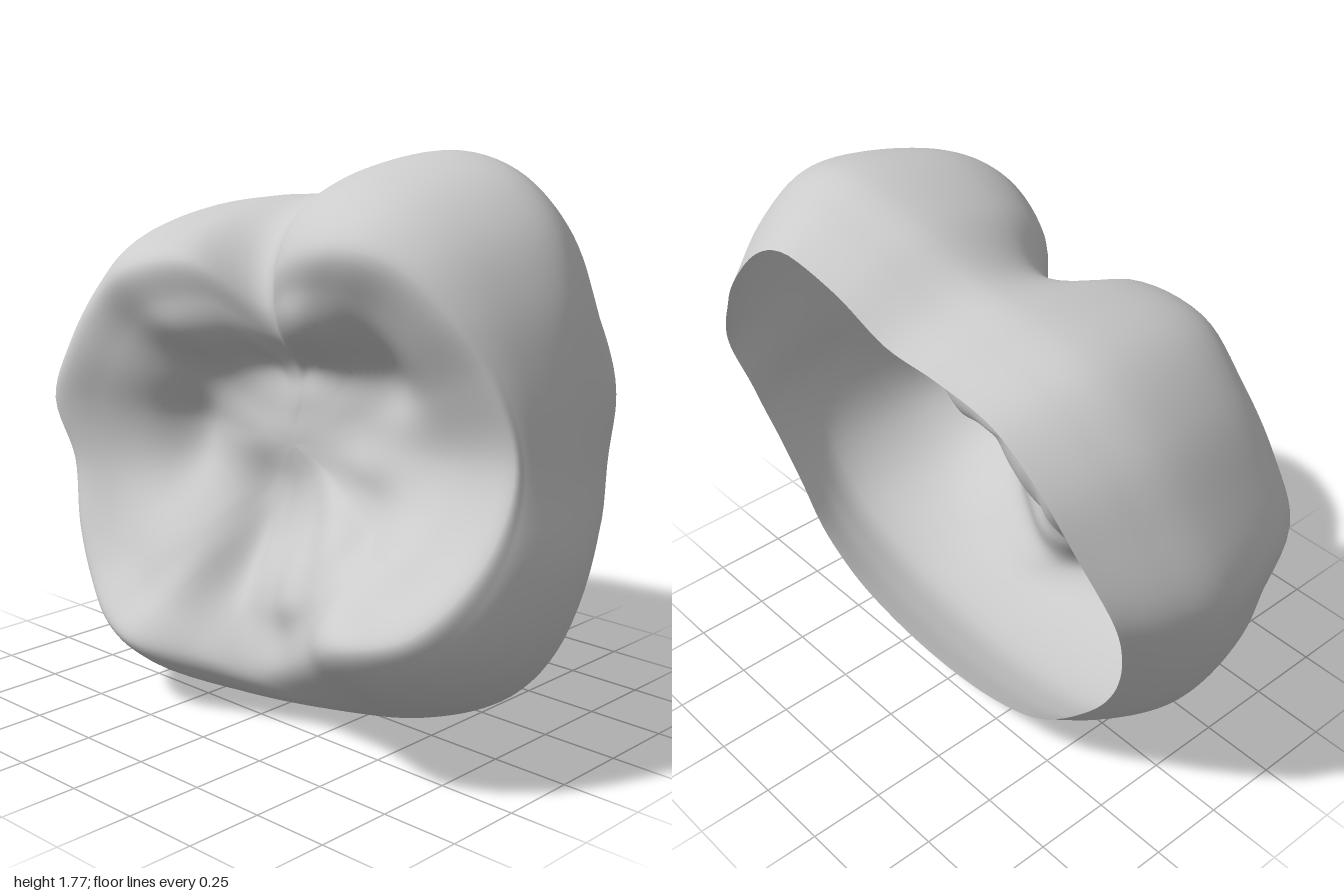
import * as THREE from 'three';
import { mergeVertices } from 'three/addons/utils/BufferGeometryUtils.js';

const { lerp, smoothstep } = THREE.MathUtils;
const COLS = 144, ROWS = 80;
const CENTRE = new THREE.Vector3(0, 0.87, 0.08);

// Stations around the crown, counterclockwise: outer belly x, y, then cusp ridge x, y, z
const STATIONS = [
  [0.955, 0.9, 0.91, 0.96, 0.16], [0.92, 1.18, 0.85, 1.19, 0.2], [0.86, 1.41, 0.75, 1.36, 0.27],
  [0.75, 1.6, 0.63, 1.48, 0.32], [0.58, 1.73, 0.48, 1.53, 0.36], [0.36, 1.78, 0.32, 1.52, 0.36],
  [0.1, 1.73, 0.13, 1.45, 0.3], [-0.13, 1.63, -0.01, 1.31, 0.2], [-0.35, 1.605, -0.2, 1.44, 0.33],
  [-0.6, 1.55, -0.43, 1.4, 0.4], [-0.78, 1.4, -0.63, 1.28, 0.37], [-0.9, 1.2, -0.77, 1.11, 0.37],
  [-1, 0.95, -0.87, 0.92, 0.36], [-0.985, 0.75, -0.8, 0.71, 0.33], [-0.9, 0.5, -0.74, 0.52, 0.37],
  [-0.77, 0.3, -0.63, 0.37, 0.42], [-0.55, 0.11, -0.48, 0.27, 0.48], [-0.3, 0.03, -0.32, 0.23, 0.5],
  [0, 0.005, -0.1, 0.21, 0.4], [0.3, 0.03, 0.09, 0.2, 0.31], [0.55, 0.09, 0.32, 0.3, 0.38],
  [0.8, 0.22, 0.6, 0.46, 0.56], [0.94, 0.4, 0.81, 0.53, 0.47], [0.995, 0.65, 0.91, 0.72, 0.28],
];

// Slope from ridge to fossa: distance from centre, rise on the low cusps, rise on the high cusps
const SLOPE = [[0.8, 0.76, 0.86], [0.6, 0.48, 0.6], [0.4, 0.2, 0.2], [0.2, 0.03, 0.02]];

// Small bumps and fissures of the chewing surface: x, y, width, height, amount
const RELIEF = [
  [-0.12, 0.5, 0.08, 0.2, -0.09], [-0.05, 0.27, 0.07, 0.1, -0.04], [-0.4, 0.85, 0.09, 0.18, -0.05],
  [0.42, 1.14, 0.13, 0.12, -0.08], [0, 1.12, 0.2, 0.08, -0.05], [0.15, 0.46, 0.14, 0.15, 0.07],
  [-0.36, 0.55, 0.17, 0.14, 0.05], [-0.12, 0.88, 0.16, 0.13, 0.04], [0.32, 0.86, 0.14, 0.08, 0.03],
  [0.42, 0.6, 0.08, 0.15, -0.05], [0.65, 0.66, 0.12, 0.12, 0.03], [-0.25, 1.22, 0.14, 0.1, 0.03],
  [0.22, 1.28, 0.12, 0.1, 0.03],
];

function relief(x, y) {
  let sum = 0;
  for (const [cx, cy, w, h, a] of RELIEF) {
    sum += a * Math.exp(-(((x - cx) / w) ** 2) - ((y - cy) / h) ** 2);
  }
  return sum;
}

const ring = (points) => new THREE.CatmullRomCurve3(points, true);

// Open back edge, deeper towards the top and drawn in at the upper left corner
function rimPoint(belly) {
  const corner = smoothstep(belly.x, 0.3, 0.8) * smoothstep(belly.y, 1, 1.5);
  const rim = belly.clone().sub(CENTRE).multiplyScalar(0.88 - 0.1 * corner).add(CENTRE);
  const high = smoothstep(rim.y, 0.35, 1.5);
  rim.z = -0.25 - 0.32 * high
    + 0.08 * high * smoothstep(-rim.x, -0.6, 0.8)
    - 0.03 * smoothstep(-rim.y, -0.4, -0.1);
  return rim;
}

// Cross-section from the open back rim over the cusp ridge to the central fossa
function section(belly, ridge) {
  const blend = (xy, z) => new THREE.Vector3(
    lerp(belly.x, ridge.x, xy), lerp(belly.y, ridge.y, xy), lerp(belly.z, ridge.z, z));
  const high = smoothstep(ridge.y, 0.6, 1.2);
  const slope = SLOPE.map(([scale, low, tall]) => new THREE.Vector3(
    lerp(CENTRE.x, ridge.x, scale),
    lerp(CENTRE.y, ridge.y, scale),
    lerp(CENTRE.z, ridge.z, lerp(low, tall, high))));
  const rim = rimPoint(belly);
  const waist = rim.clone().lerp(belly, 0.5);
  waist.x += (belly.x - rim.x) * 0.15;
  waist.y += (belly.y - rim.y) * 0.15;
  return new THREE.CatmullRomCurve3([
    rim, waist, belly, blend(0.25, 0.58), blend(0.62, 0.88), ridge, ...slope, CENTRE.clone(),
  ]);
}

function crownGeometry() {
  const bellyRing = ring(STATIONS.map(([x, y]) => new THREE.Vector3(x, y, -0.073 * y * y)));
  const ridgeRing = ring(STATIONS.map(([, , x, y, z]) => new THREE.Vector3(x, y, z)));
  const positions = [], indices = [];
  for (let j = 0; j < COLS; j++) {
    const curve = section(bellyRing.getPoint(j / COLS), ridgeRing.getPoint(j / COLS));
    for (let i = 0; i <= ROWS; i++) {
      const t = i / ROWS, p = curve.getPoint(t);
      // Relief fades in just inside the cusp ridge
      p.z += relief(p.x, p.y) * smoothstep(t, 0.48, 0.65);
      positions.push(p.x, p.y, p.z);
      if (i < ROWS) {
        const a = j * (ROWS + 1) + i, b = ((j + 1) % COLS) * (ROWS + 1) + i;
        indices.push(a, b, a + 1);
        if (i < ROWS - 1) indices.push(b, b + 1, a + 1);
      }
    }
  }
  const geometry = new THREE.BufferGeometry();
  geometry.setAttribute('position', new THREE.Float32BufferAttribute(positions, 3));
  geometry.setIndex(indices);
  const merged = mergeVertices(geometry, 1e-5);
  merged.computeVertexNormals();
  return merged;
}

export function createModel() {
  const group = new THREE.Group();
  group.name = 'molarCrown';
  const material = new THREE.MeshStandardMaterial({ color: 0xcccccc, side: THREE.DoubleSide });
  const shell = new THREE.Mesh(crownGeometry(), material);
  shell.name = 'crownShell';
  group.add(shell);
  return group;
}
